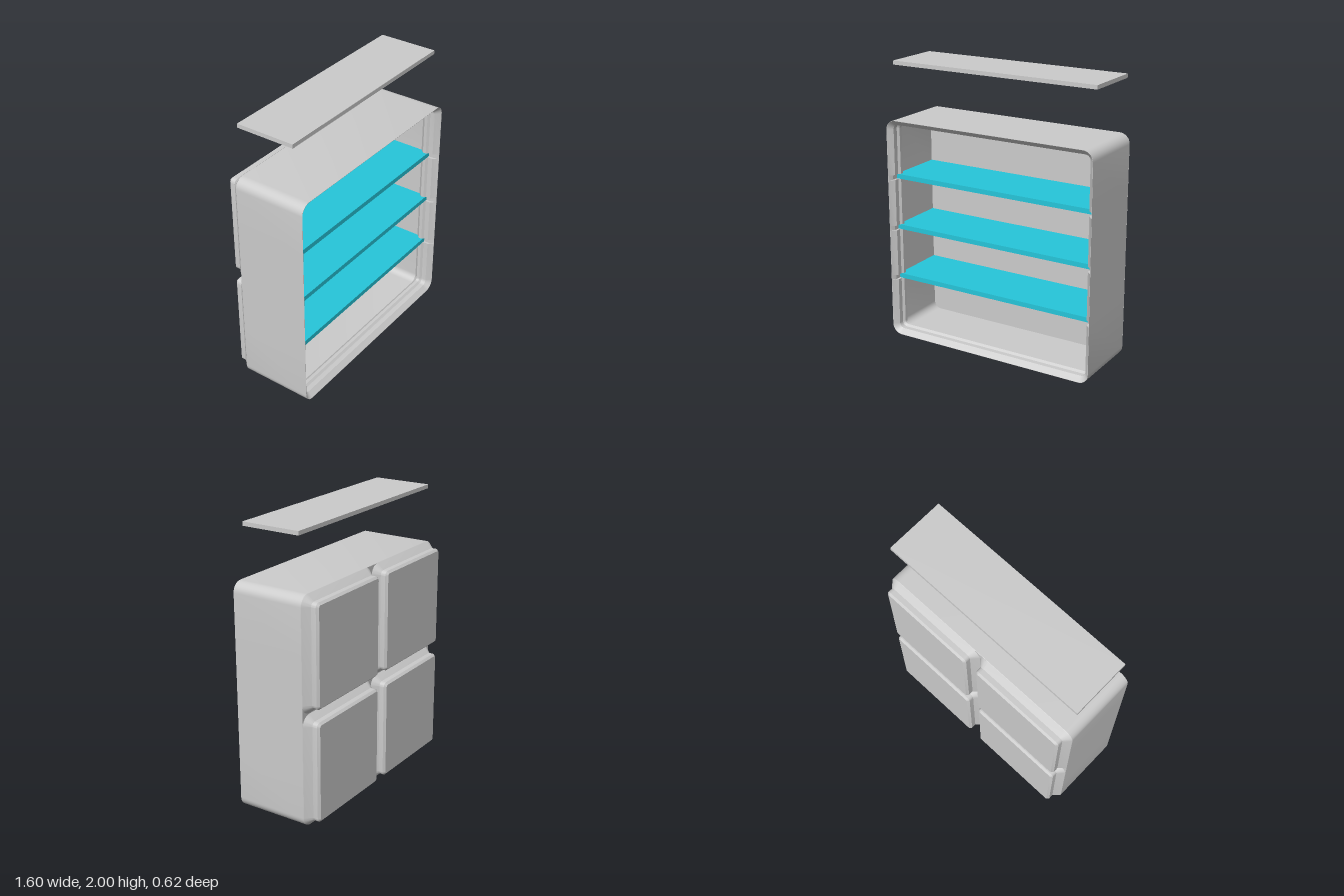
import * as THREE from 'three';
import { toCreasedNormals } from 'three/addons/utils/BufferGeometryUtils.js';

const GREY = new THREE.MeshStandardMaterial({ color: 0xcccccc });
const CYAN = new THREE.MeshStandardMaterial({ color: 0x26c6da });

const MID = 0.8; // height of the cabinet's centre
const SHELF_Y = [0.43, 0.805, 1.18];
const SHELF_H = 0.034;
const SLOT_X = 0.782; // how far the shelf slots cut into the lip

// Rounded square, counter-clockwise; with slots, its sides step out at each shelf
function outline(half, r, slots) {
  const pts = [];
  const side = (sign, ys) => {
    for (const y of ys) {
      const up = sign > 0 ? 1 : -1;
      const lo = y - MID - up * (SHELF_H / 2 + 0.001);
      const hi = y - MID + up * (SHELF_H / 2 + 0.001);
      const deep = Math.max(half, SLOT_X);
      pts.push([sign * half, lo], [sign * deep, lo], [sign * deep, hi], [sign * half, hi]);
    }
  };
  for (let q = 0; q < 4; q++) {
    if (slots && q === 0) side(1, SHELF_Y);
    if (slots && q === 2) side(-1, [...SHELF_Y].reverse());
    const cx = (q === 0 || q === 3 ? 1 : -1) * (half - r);
    const cy = (q < 2 ? 1 : -1) * (half - r);
    for (let i = 0; i <= 8; i++) {
      const a = (q + i / 8) * Math.PI / 2;
      pts.push([cx + r * Math.cos(a), cy + r * Math.sin(a)]);
    }
  }
  return pts;
}

// Skin a list of [half size, corner radius, z] sections and cap both ends
function loft(sections, slots = false) {
  const rings = sections.map(([half, r, z]) =>
    outline(half, r, slots).map(([x, y]) => new THREE.Vector3(x, y, z)));
  const pos = [];
  const tri = (a, b, c) => {
    const area = b.clone().sub(a).cross(c.clone().sub(a)).length();
    if (area > 1e-9) for (const p of [a, b, c]) pos.push(p.x, p.y, p.z);
  };
  const n = rings[0].length;
  const last = rings.length - 1;
  const startMid = new THREE.Vector3(0, 0, sections[0][2]);
  const endMid = new THREE.Vector3(0, 0, sections[last][2]);
  for (let i = 0; i < n; i++) {
    const k = (i + 1) % n;
    for (let j = 0; j < last; j++) {
      tri(rings[j][i], rings[j][k], rings[j + 1][k]);
      tri(rings[j][i], rings[j + 1][k], rings[j + 1][i]);
    }
    tri(startMid, rings[0][k], rings[0][i]);
    tri(endMid, rings[last][i], rings[last][k]);
  }
  const geo = new THREE.BufferGeometry();
  geo.setAttribute('position', new THREE.Float32BufferAttribute(pos, 3));
  return toCreasedNormals(geo, 0.4);
}

export function createModel() {
  const model = new THREE.Group();
  const add = (name, geo, mat, x, y, z) => {
    const mesh = new THREE.Mesh(geo, mat);
    mesh.name = name;
    mesh.position.set(x, y, z);
    model.add(mesh);
  };

  // Open-fronted cabinet: outer wall, stepped lip with slots, inner wall, back panel
  add('cabinet', loft([
    [0.798, 0.07, -0.215],
    [0.8, 0.072, -0.212],
    [0.8, 0.072, 0.31],
    [0.798, 0.07, 0.31],
    [0.764, 0.036, 0.275],
    [0.764, 0.036, 0.24],
    [0.75, 0.022, 0.226],
    [0.75, 0.022, 0.203],
    [0.781, 0.053, 0.172],
    [0.781, 0.053, -0.192],
  ], true), GREY, 0, MID, 0);

  // Four stepped square pads on the back
  const pad = loft([
    [0.341, 0.016, -0.31],
    [0.356, 0.031, -0.295],
    [0.356, 0.031, -0.26],
    [0.398, 0.072, -0.215],
  ]);
  for (const x of [-0.401, 0.401])
    for (const y of [-0.401, 0.401]) add('backPad', pad, GREY, x, MID + y, 0);

  // Sliding shelves and the spare panel hovering above
  const depth = 0.425;
  for (const y of SHELF_Y)
    add('shelf', new THREE.BoxGeometry(1.56, SHELF_H, depth), CYAN, 0, y, 0.0225);
  add('loosePanel', new THREE.BoxGeometry(1.56, 0.028, depth), GREY, 0, 1.986, 0.0225);

  return model;
}
